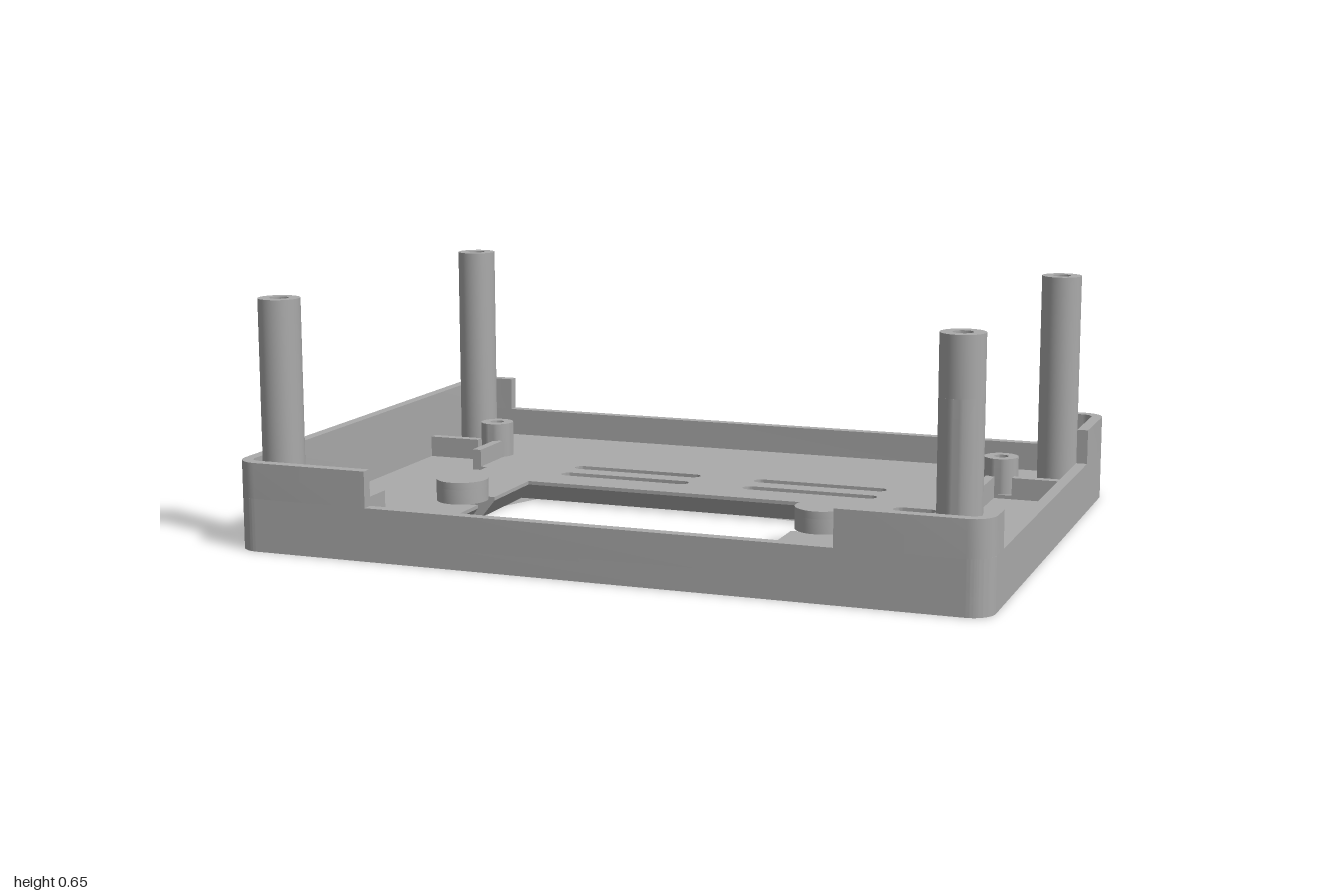
import * as THREE from 'three';
import { toCreasedNormals } from 'three/addons/utils/BufferGeometryUtils.js';

const W = 1, D = 0.735, T = 0.03, R = 0.06;      // half width, half depth, wall, corner radius
const FLOOR = 0.06, STEP = 0.05, LOW = 0.14, HIGH = 0.235, POST_TOP = 0.655;
const OPEN = { x0: -0.523, x1: 0.37, z0: -0.06, z1: 0.505, bevel: 0.04 };
const DISCS = [-0.594, 0.437], DISC_Z = 0.222;

const poly = (pts) => new THREE.Shape(pts.map(([x, z]) => new THREE.Vector2(x, z)));

function roundRect(hw, hd, r) {
  const s = new THREE.Shape();
  s.absarc(hw - r, hd - r, r, 0, Math.PI / 2);
  s.absarc(-hw + r, hd - r, r, Math.PI / 2, Math.PI);
  s.absarc(-hw + r, -hd + r, r, Math.PI, Math.PI * 1.5);
  s.absarc(hw - r, -hd + r, r, Math.PI * 1.5, Math.PI * 2);
  return s;
}

// Ventilation slot with round ends
function slot(x0, x1, z, r) {
  const s = new THREE.Shape();
  s.absarc(x1 - r, z, r, -Math.PI / 2, Math.PI / 2);
  s.absarc(x0 + r, z, r, Math.PI / 2, Math.PI * 1.5);
  return s;
}

function disc(r, hole = 0) {
  const s = new THREE.Shape();
  s.absarc(0, 0, r, 0, Math.PI * 2);
  if (hole) s.holes.push(new THREE.Path().absarc(0, 0, hole, 0, Math.PI * 2));
  return s;
}

// Extrude a plan shape (x, z) from height y0 to y1
function slab(shape, y0, y1) {
  const g = new THREE.ExtrudeGeometry(shape, { depth: y1 - y0, bevelEnabled: false, curveSegments: 16 });
  g.rotateX(Math.PI / 2);
  g.translate(0, y1, 0);
  return g;
}

// Display opening with a notch under each clamp disc
function openingShape() {
  const { x0, x1, z0, z1 } = OPEN, n0 = DISC_Z - 0.053, n1 = DISC_Z + 0.053;
  const a = DISCS[0] - 0.036, b = DISCS[1] + 0.036;
  return poly([[x0, z0], [x1, z0], [x1, n0], [b, n0], [b, n1], [x1, n1], [x1, z1],
    [x0, z1], [x0, n1], [a, n1], [a, n0], [x0, n0]]);
}

function floorShape() {
  const s = roundRect(W, D, R);
  s.holes.push(openingShape());
  for (const z of [-0.29, -0.19]) {
    s.holes.push(slot(-0.475, -0.085, z, 0.021), slot(0.08, 0.47, z, 0.021));
  }
  for (let i = 0; i < 5; i++) s.holes.push(slot(0.55, 0.67, -0.07 + i * 0.1175, 0.023));
  return s;
}

// Widen the opening at the underside into a chamfer
function chamferOpening(g) {
  const p = g.attributes.position, e = 1e-4, { x0, x1, z0, z1, bevel } = OPEN;
  for (let i = 0; i < p.count; i++) {
    const x = p.getX(i), z = p.getZ(i);
    if (p.getY(i) > e || x < x0 - e || x > x1 + e || z < z0 - e || z > z1 + e) continue;
    if (Math.abs(x - x0) < e) p.setX(i, x - bevel);
    if (Math.abs(x - x1) < e) p.setX(i, x + bevel);
    if (Math.abs(z - z0) < e) p.setZ(i, z - bevel);
    if (Math.abs(z - z1) < e) p.setZ(i, z + bevel);
  }
  return g;
}

// L-shaped raised wall round one corner
function cornerWall(sx, sz, xEnd, zEnd) {
  const pts = [[xEnd, D]], ri = R - T;
  const arc = (r, from, to) => {
    for (let i = 0; i <= 8; i++) {
      const a = from + (to - from) * i / 8;
      pts.push([W - R + r * Math.cos(a), D - R + r * Math.sin(a)]);
    }
  };
  arc(R, Math.PI / 2, 0);
  pts.push([W, zEnd], [W - T, zEnd]);
  arc(ri, 0, Math.PI / 2);
  pts.push([xEnd, D - T]);
  return poly(pts.map(([x, z]) => [x * sx, z * sz]));
}

export function createModel() {
  const model = new THREE.Group();
  const grey = new THREE.MeshStandardMaterial({ color: 0xaaaaaa });
  grey.name = 'grey plastic';
  const add = (name, geo, x = 0, z = 0) => {
    const m = new THREE.Mesh(toCreasedNormals(geo, 0.5), grey);
    m.name = name;
    m.position.set(x, 0, z);
    model.add(m);
  };

  // Floor: full lower layer, upper layer with a shallow recess along each side
  add('floorLower', chamferOpening(slab(floorShape(), 0, STEP)));
  const upper = floorShape();
  for (const s of [-1, 1]) {
    upper.holes.push(poly([[0.97, -0.34], [0.74, -0.34], [0.74, -0.2], [0.72, -0.2],
      [0.72, 0.4], [0.74, 0.4], [0.74, 0.535], [0.97, 0.535]].map(([x, z]) => [x * s, z])));
  }
  add('floorUpper', slab(upper, STEP, FLOOR));

  // Low wall all round, raised at the corners and along the right side
  const ring = roundRect(W, D, R);
  ring.holes.push(roundRect(W - T, D - T, R - T));
  add('lowWall', slab(ring, FLOOR, LOW));
  add('backLeftWall', slab(cornerWall(1, -1, 0.87, 0.46), LOW, HIGH));
  add('frontLeftWall', slab(cornerWall(1, 1, 0.62, 0.607), LOW, HIGH));
  add('backRightWall', slab(cornerWall(-1, -1, 0.87, 0), LOW, HIGH));
  add('frontRightWall', slab(cornerWall(-1, 1, 0.62, 0), LOW, HIGH));

  // Tall corner posts; the front left one has a flat cut into its inner side
  const r = 0.055, hole = 0.025;
  for (const [x, z] of [[-0.905, -0.54], [0.9, -0.54], [-0.905, 0.64]]) {
    add('cornerPost', slab(disc(r, hole), FLOOR - 0.005, POST_TOP), x, z);
  }
  const a = Math.asin(-0.033 / r), cut = new THREE.Shape();
  cut.absarc(0, 0, r, a, Math.PI - a);
  cut.holes.push(new THREE.Path().absarc(0, 0, hole, 0, Math.PI * 2));
  add('cutPostBase', slab(disc(r, hole), FLOOR, LOW), 0.9, 0.64);
  add('cutPostMiddle', slab(cut, LOW, 0.505), 0.9, 0.64);
  add('cutPostTop', slab(disc(r, hole), 0.505, POST_TOP), 0.9, 0.64);

  // Short standoffs with L-shaped ribs
  const rib = (x0, x1, z0, z1) =>
    slab(poly([[x0, z0], [x1, z0], [x1, z1], [x0, z1]]), STEP, 0.11);
  for (const s of [-1, 1]) {
    for (const z of [-0.39, 0.585]) add('standoff', slab(disc(0.048, 0.02), STEP, 0.16), s * 0.773, z);
    const sideRib = (z0, z1) => add('sideRib', rib(s * 0.752 - 0.013, s * 0.752 + 0.013, z0, z1));
    sideRib(-0.35, -0.2);
    sideRib(0.4, 0.545);
    const crossRib = (z0, z1) => add('crossRib', rib(s * 0.895 - 0.08, s * 0.895 + 0.08, z0, z1));
    crossRib(-0.368, -0.34);
    crossRib(0.535, 0.563);
  }

  // Clamp discs beside the opening, with a blind screw hole underneath
  for (const x of DISCS) {
    add('clampDiscBase', slab(disc(0.071, 0.016), FLOOR, 0.1), x, DISC_Z);
    add('clampDiscTop', slab(disc(0.071), 0.1, 0.12), x, DISC_Z);
  }
  return model;
}
